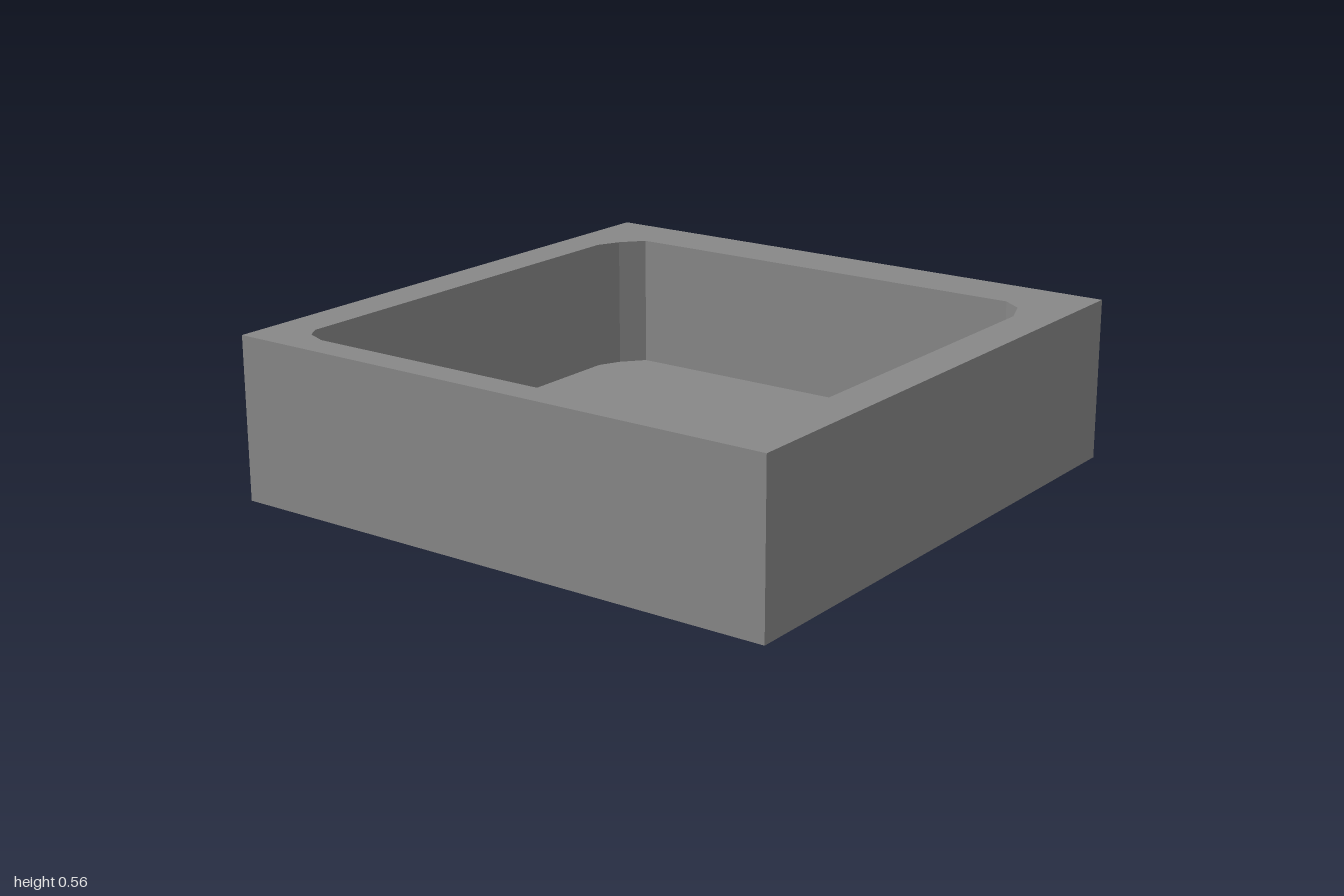
import * as THREE from 'three';

const HEIGHT = 0.555;
const FLOOR = 0.095;

// Recess outline as [x, z], with unevenly chamfered corners
const RECESS = [
  [-0.895, -0.755], [-0.866, -0.828], [-0.82, -0.857], // back right
  [0.637, -0.857], [0.717, -0.82], [0.793, -0.755],    // back left
  [0.793, 0.752], [0.743, 0.82], [0.637, 0.861],       // front left
  [-0.82, 0.861], [-0.895, 0.752],                     // front right
];

const toPoints = (list) => list.map(([x, z]) => new THREE.Vector2(x, z));

// Extrude a plan-view shape from the ground up to the given height
function slab(name, shape, height, material) {
  const geometry = new THREE.ExtrudeGeometry(shape, { depth: height, bevelEnabled: false });
  geometry.rotateX(Math.PI / 2).translate(0, height, 0);
  const mesh = new THREE.Mesh(geometry, material);
  mesh.name = name;
  return mesh;
}

export function createModel() {
  const group = new THREE.Group();
  group.name = 'squareTray';
  const material = new THREE.MeshStandardMaterial({ color: 0x888888, flatShading: true });

  // Square block with the recess cut through it
  const walls = new THREE.Shape(toPoints([[-1, -1], [1, -1], [1, 1], [-1, 1]]));
  walls.holes.push(new THREE.Path(toPoints(RECESS)));
  group.add(slab('walls', walls, HEIGHT, material));

  // Thin floor closing the recess
  group.add(slab('floor', new THREE.Shape(toPoints(RECESS)), FLOOR, material));

  return group;
}
